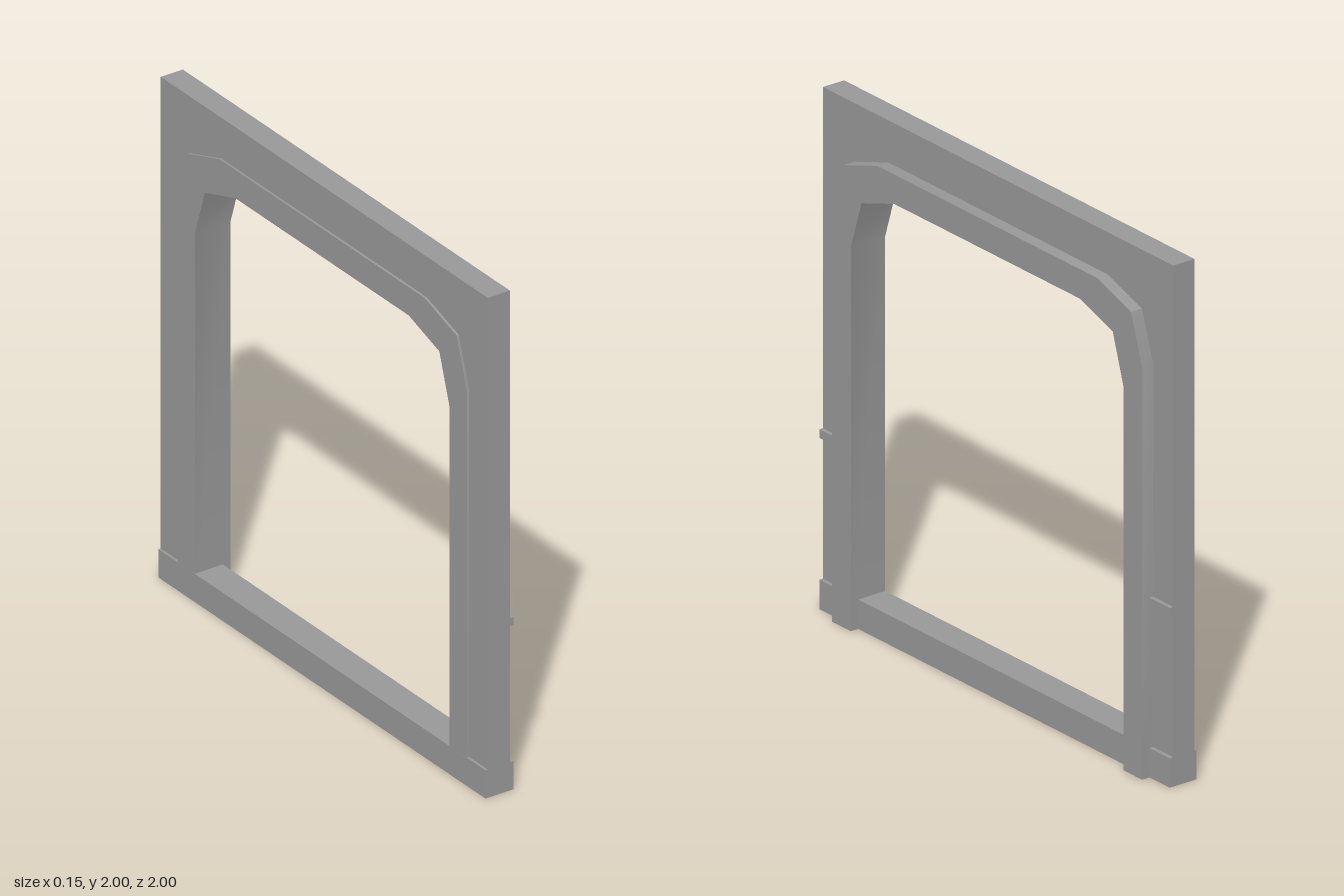
import * as THREE from 'three';
import { toCreasedNormals } from 'three/addons/utils/BufferGeometryUtils.js';

const material = new THREE.MeshStandardMaterial({ color: 0x999999 });

// Right half of each arch profile as [z, y] from the foot up
const OUTER = [[0.885, 1.583], [0.822, 1.774], [0.627, 1.838]];
const INNER = [[0.778, 1.474], [0.717, 1.664], [0.53, 1.725]];

// Full arch path from one foot over the top to the other
function arch(half, foot) {
  const side = [[half[0][0], foot], ...half];
  return [...side, ...side.map(([z, y]) => [-z, y]).reverse()];
}

// Frame open at the bottom, between two paths, spanning x0..x1;
// shallow bends are smooth, sharper corners stay crisp
function frame(name, outside, inside, x0, x1) {
  const points = [...outside, ...[...inside].reverse()];
  const shape = new THREE.Shape(points.map(([z, y]) => new THREE.Vector2(z, y)));
  const geometry = new THREE.ExtrudeGeometry(shape, { depth: x1 - x0, bevelEnabled: false });
  geometry.rotateY(Math.PI / 2).translate(x0, 0, 0);
  const mesh = new THREE.Mesh(toCreasedNormals(geometry, Math.PI / 6), material);
  mesh.name = name;
  return mesh;
}

// Box given by its extents on each axis
function box(name, [x0, x1], [y0, y1], [z0, z1]) {
  const mesh = new THREE.Mesh(new THREE.BoxGeometry(x1 - x0, y1 - y0, z1 - z0), material);
  mesh.position.set((x0 + x1) / 2, (y0 + y1) / 2, (z0 + z1) / 2);
  mesh.name = name;
  return mesh;
}

export function createModel() {
  const group = new THREE.Group();
  group.name = 'wallDoorway';
  const baseTop = 0.113;

  // Wall panel around the opening
  const wallEdge = [[1, baseTop], [1, 2], [-1, 2], [-1, baseTop]];
  group.add(frame('wall', wallEdge, arch(OUTER, baseTop), -0.067, 0.028));

  // Raised trim with chamfered corners
  group.add(frame('doorTrim', arch(OUTER, 0), arch(INNER, 0), -0.0765, 0.077));

  // Base beam forming the sill and the skirting
  group.add(box('baseBeam', [-0.077, 0.044], [0, baseTop], [-1, 1]));

  // Thin rail on the wall either side of the trim
  for (const [name, z] of [['frontRail', [0.885, 1]], ['backRail', [-1, -0.885]]]) {
    group.add(box(name, [0.02, 0.044], [0.657, 0.69], z));
  }
  return group;
}
